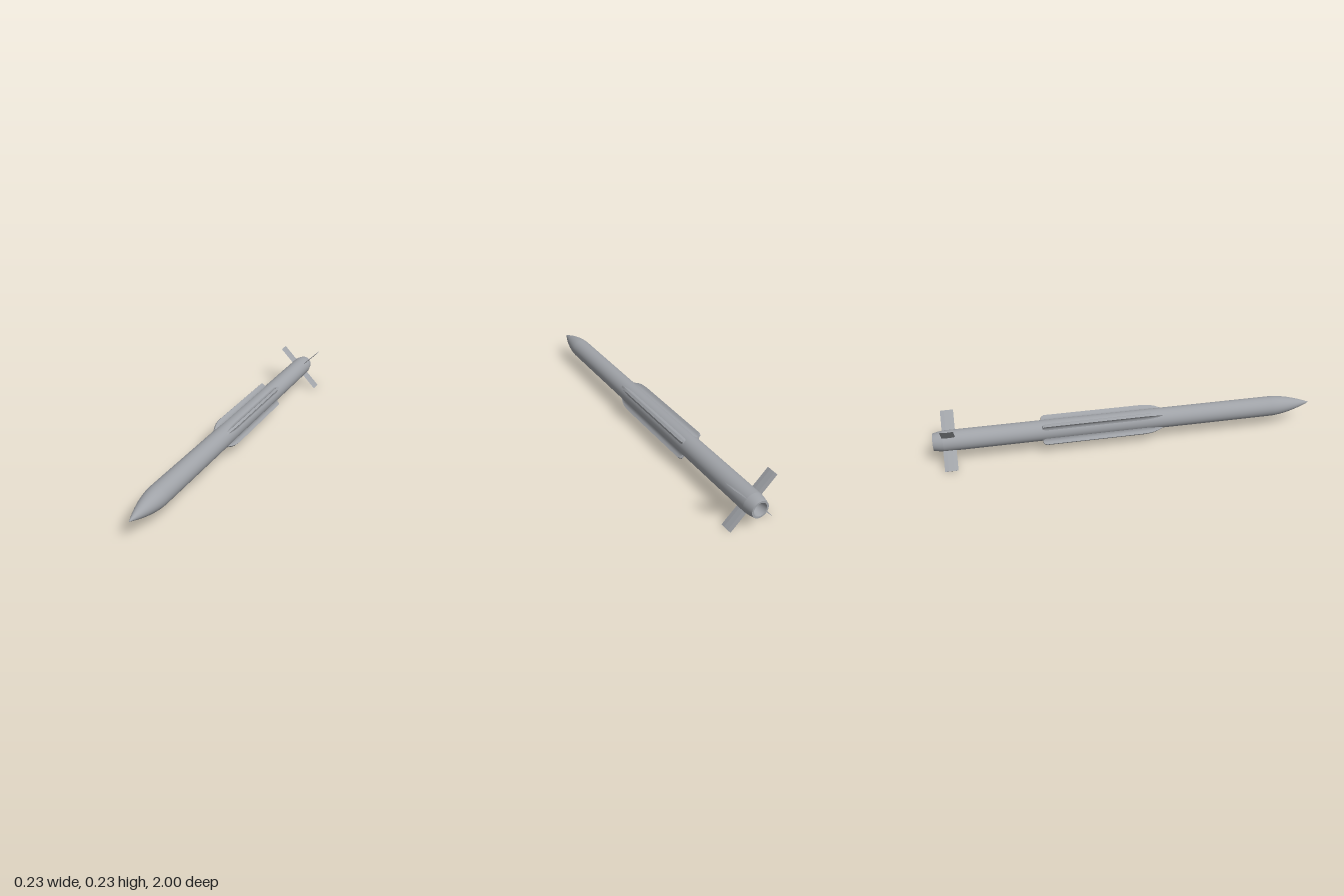
import * as THREE from 'three';
import { toCreasedNormals } from 'three/addons/utils/BufferGeometryUtils.js';

const AXIS_Y = 0.113, R = 0.053;

// Turned part along the z axis; profile is [radius, z] pairs
function turned(name, profile, material) {
  const geo = new THREE.LatheGeometry(profile.map(([r, z]) => new THREE.Vector2(r, z)), 48);
  geo.rotateX(Math.PI / 2);
  const mesh = new THREE.Mesh(geo, material);
  mesh.name = name;
  return mesh;
}

// Long strake with filleted root, lofted along z (local y points outward)
function strakeGeometry() {
  const half = [[0.019, 0.048], [0.013, 0.053], [0.009, 0.059], [0.0065, 0.066], [0.0065, 0.078]];
  const section = [...half, ...half.slice().reverse().map(([u, v]) => [-u, v])];
  // [z, height factor]
  const stations = [[-0.46, 0], [-0.457, 0.75], [-0.443, 1], [0.07, 1], [0.11, 0.9],
    [0.14, 0.65], [0.165, 0.32], [0.19, 0]];
  const pos = [], idx = [], n = section.length;
  for (const [z, s] of stations) {
    for (const [u, v] of section) pos.push(u * (0.6 + 0.4 * s), 0.046 + (v - 0.046) * s, z);
  }
  for (let i = 0; i < stations.length - 1; i++) {
    for (let j = 0; j < n - 1; j++) {
      const a = i * n + j, b = a + 1, c = a + n, d = c + 1;
      idx.push(a, b, c, b, d, c);
    }
  }
  const geo = new THREE.BufferGeometry();
  geo.setAttribute('position', new THREE.Float32BufferAttribute(pos, 3));
  geo.setIndex(idx);
  return toCreasedNormals(geo, 0.6);
}

// Thin tail fin with a sharp-edged section
function finGeometry() {
  const c = 0.0325, t = 0.0018;
  const shape = new THREE.Shape([[0, -c], [t, -c * 0.4], [t, c * 0.4], [0, c], [-t, c * 0.4], [-t, -c * 0.4]]
    .map(([x, y]) => new THREE.Vector2(x, y)));
  const geo = new THREE.ExtrudeGeometry(shape, { depth: 0.112, bevelEnabled: false });
  geo.rotateX(-Math.PI / 2);
  geo.translate(0, 0.046, -0.922);
  return geo;
}

export function createModel() {
  const model = new THREE.Group();
  model.name = 'missile';
  const grey = new THREE.MeshStandardMaterial({ color: 0xa0a3a8 });
  grey.name = 'body grey';

  const body = new THREE.Group();
  body.name = 'body';
  body.position.y = AXIS_Y;
  model.add(body);

  // Hull with pointed ogive nose
  const nose = [];
  for (let i = 0; i <= 14; i++) {
    const t = i / 14;
    nose.push([R * (1 - Math.pow(t, 1.75)), 0.77 + 0.23 * t]);
  }
  body.add(turned('hull', [[R, -0.95], ...nose], grey));

  // Tapered tail, rim and hollow nozzle
  body.add(turned('tailTaper', [[0.043, -1], [0.0455, -0.99], [0.05, -0.968], [R, -0.945]], grey));
  body.add(turned('nozzleRim', [[0.034, -1], [0.043, -1]], grey));
  body.add(turned('nozzle', [[0, -0.93], [0.014, -0.932], [0.022, -0.95], [0.034, -1]], grey));

  // Four strakes and four tail fins on the diagonals
  const strakeGeo = strakeGeometry(), finGeo = finGeometry();
  for (let k = 0; k < 4; k++) {
    const quarter = new THREE.Group();
    quarter.name = 'finSet' + (k + 1);
    quarter.rotation.z = Math.PI / 4 + k * Math.PI / 2;
    const strake = new THREE.Mesh(strakeGeo, grey);
    strake.name = 'strake';
    const fin = new THREE.Mesh(finGeo, grey);
    fin.name = 'tailFin';
    quarter.add(strake, fin);
    body.add(quarter);
  }
  return model;
}
